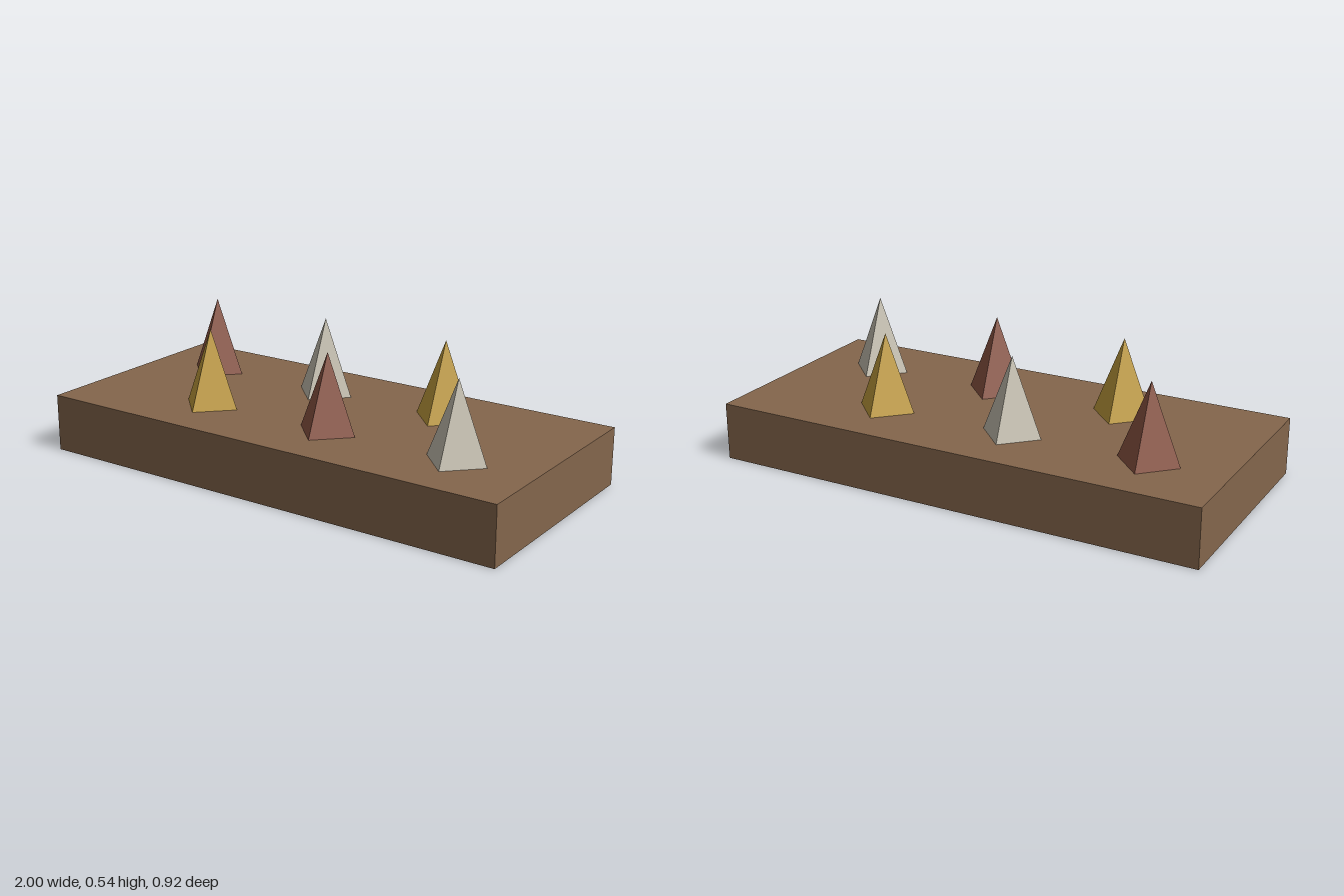
import * as THREE from 'three';

const paint = (name, color) => {
  const m = new THREE.MeshStandardMaterial({ color });
  m.name = name;
  return m;
};

export function createModel() {
  const group = new THREE.Group();
  group.name = 'spikeBoard';
  const unit = 2 / 13;
  const boardHeight = 1.5 * unit;
  const spikeHeight = 2 * unit;

  // Flat wooden board
  const board = new THREE.Mesh(
    new THREE.BoxGeometry(13 * unit, boardHeight, 6 * unit),
    paint('brownWood', 0x84664c)
  );
  board.name = 'board';
  board.position.y = boardHeight / 2;
  group.add(board);

  // Four-sided spikes in two staggered rows, cycling through three colours
  const colours = [
    paint('rustRed', 0x8f5644),
    paint('ochreGold', 0xc6a03e),
    paint('boneGrey', 0xc8c2b2),
  ];
  // Faceted cone with its corners on the x and z axes
  const spikeGeometry = new THREE.ConeGeometry(0.8 * unit, spikeHeight, 4).toNonIndexed();
  spikeGeometry.computeVertexNormals();

  for (let i = 0; i < 6; i++) {
    const spike = new THREE.Mesh(spikeGeometry, colours[i % 3]);
    spike.name = `spike${i + 1}`;
    spike.position.set(
      (i - 2.5) * 1.8 * unit,
      boardHeight + spikeHeight / 2,
      (i % 2 ? 1.25 : -1.25) * unit
    );
    group.add(spike);
  }
  return group;
}
